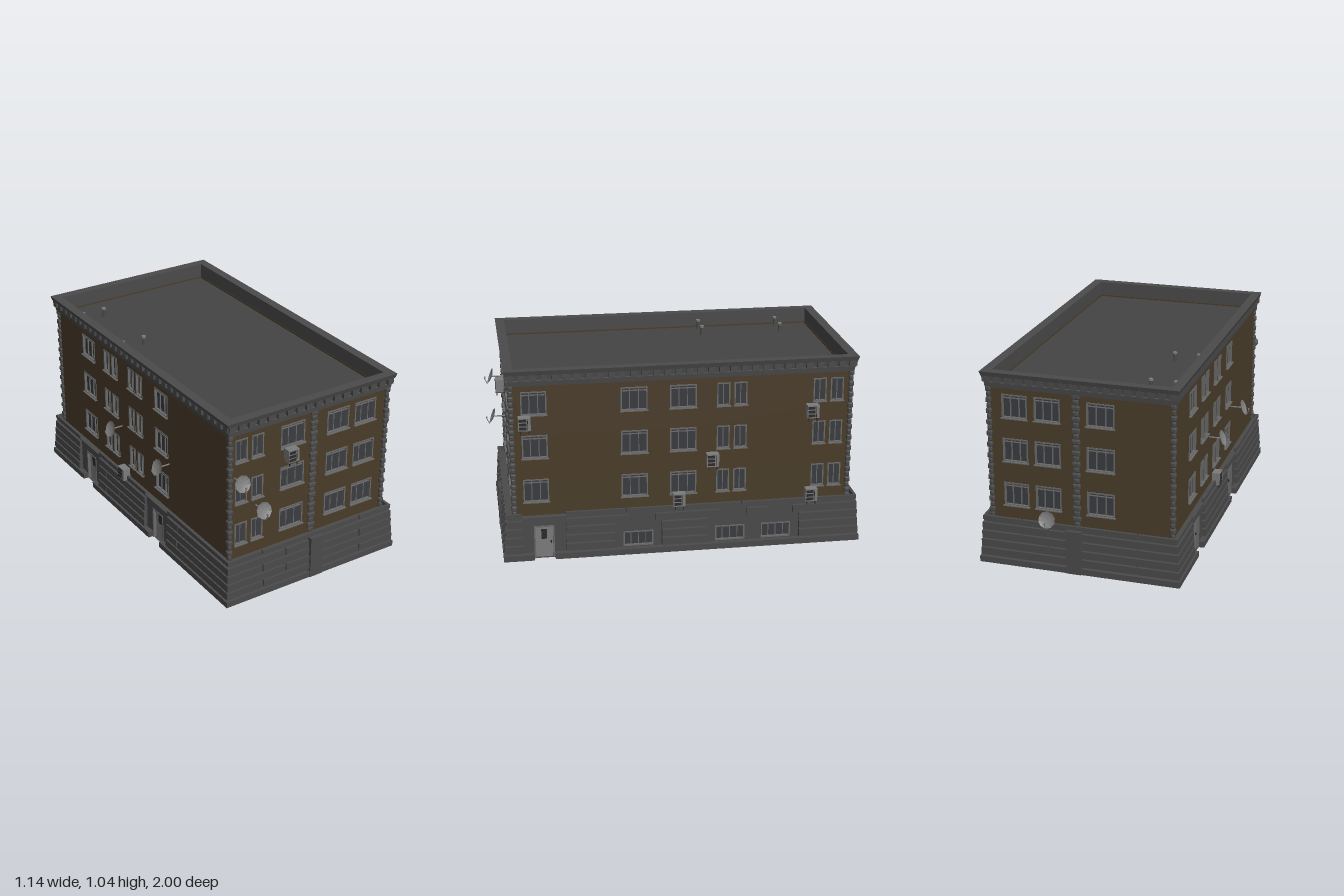
import * as THREE from 'three';
import { RoundedBoxGeometry } from 'three/addons/geometries/RoundedBoxGeometry.js';

const mat = (color) => new THREE.MeshStandardMaterial({ color, side: THREE.DoubleSide, flatShading: true });
const brown = mat(0x4a3d2a), stone = mat(0x4c4b4c), dark = mat(0x2b2b2c), roofGrey = mat(0x444444);
const frameGrey = mat(0x6a6a6a), glass = mat(0x3a3c40), metal = mat(0x7c7c7c);

const CX = 0.025;                      // building centre in x
const HX = 0.485, HZ = 0.89;           // upper wall half sizes
const BX = 0.508, BZ = 0.926;          // basement half sizes
const BASE = 0.235, EAVES = 0.955;
const ROWS = [0.31, 0.552, 0.788], WIN_H = 0.128;

function add(parent, name, geo, material, x = 0, y = 0, z = 0) {
  const m = new THREE.Mesh(geo, material);
  m.name = name;
  m.position.set(x, y, z);
  parent.add(m);
  return m;
}
const box = (parent, name, material, w, h, d, x, y, z) =>
  add(parent, name, new THREE.BoxGeometry(w, h, d), material, x, y, z);

// Flat wall with rectangular openings [u0, u1, y0, y1]; its outer face lies at z = depth
function wall(parent, name, material, half, y0, y1, depth, thick, openings) {
  const rect = (P, a, b, c, d) => new P([[a, c], [b, c], [b, d], [a, d]].map((p) => new THREE.Vector2(...p)));
  const shape = rect(THREE.Shape, -half, half, y0, y1);
  for (const o of openings) shape.holes.push(rect(THREE.Path, ...o));
  add(parent, name, new THREE.ExtrudeGeometry(shape, { depth: thick, bevelEnabled: false }), material, 0, 0, depth - thick);
}

// Recessed window: glass, outer frame, mullions, optional transom and sill
function windowUnit(parent, [u0, u1, y0, y1], depth, panes, sill) {
  const g = new THREE.Group();
  g.name = 'window';
  g.position.set((u0 + u1) / 2, (y0 + y1) / 2, depth);
  parent.add(g);
  const w = u1 - u0, h = y1 - y0, t = 0.007;
  box(g, 'glass', glass, w, h, 0.004, 0, 0, -0.014);
  for (const s of [-1, 1]) {
    box(g, 'frameSide', frameGrey, t, h, 0.016, s * (w - t) / 2, 0, -0.005);
    box(g, 'frameRail', frameGrey, w, t, 0.016, 0, s * (h - t) / 2, -0.005);
  }
  for (let i = 1; i < panes; i++) box(g, 'mullion', frameGrey, 0.005, h, 0.008, -w / 2 + (w * i) / panes, 0, -0.009);
  if (panes > 2 && sill) box(g, 'transom', frameGrey, w, 0.004, 0.008, 0, h * 0.33, -0.009);
  if (sill) box(g, 'sill', frameGrey, w + 0.008, 0.005, 0.016, 0, -h / 2, 0.005);
}

// Row of stone blocks from -half to half, interrupted by gaps [a, b]
function course(parent, half, y, h, inner, outer, gaps) {
  let start = -half;
  for (const [a, b] of [...gaps, [half, half]].sort((p, q) => p[0] - q[0])) {
    if (a - start > 0.01) box(parent, 'stoneCourse', stone, a - start, h, outer - inner, (a + start) / 2, y, (outer + inner) / 2);
    start = Math.max(start, b);
  }
}

// Column of rough alternating blocks
function quoins(parent, x, z, size, depth) {
  const n = 24, step = (EAVES - BASE) / n;
  for (let i = 0; i < n; i++) {
    const k = i % 2 ? 1 : 0.72;
    add(parent, 'quoin', new RoundedBoxGeometry(size * k, step * 0.96, depth * (i % 2 ? 1 : 0.8), 1, 0.007),
      stone, x, BASE + (i + 0.5) * step, z);
  }
}

function airConditioner(parent, u, y, depth) {
  const g = new THREE.Group();
  g.name = 'airConditioner';
  g.position.set(u, y, depth);
  parent.add(g);
  box(g, 'casing', metal, 0.064, 0.07, 0.043, 0, 0.004, 0.034);
  for (let i = 0; i < 3; i++) box(g, 'grille', dark, 0.038, 0.015, 0.002, -0.009, -0.017 + i * 0.021, 0.056);
  box(g, 'sidePanel', dark, 0.003, 0.06, 0.002, 0.016, 0.004, 0.056);
  for (const s of [-1, 1]) {
    box(g, 'bracketArm', dark, 0.005, 0.005, 0.056, s * 0.022, -0.034, 0.028);
    box(g, 'bracketLeg', dark, 0.005, 0.02, 0.005, s * 0.022, -0.041, 0.05);
  }
}

function rod(parent, name, a, b, r, material) {
  const A = new THREE.Vector3(...a), B = new THREE.Vector3(...b);
  add(parent, name, new THREE.TubeGeometry(new THREE.LineCurve3(A, B), 1, r, 6), material);
}

function satelliteDish(parent, u, y, depth) {
  const g = new THREE.Group();
  g.name = 'satelliteDish';
  g.position.set(u, y, depth);
  parent.add(g);
  const profile = [[0.001, 0], [0.02, 0.002], [0.035, 0.006], [0.045, 0.011]].map((p) => new THREE.Vector2(...p));
  const dish = add(g, 'reflector', new THREE.LatheGeometry(profile, 10), metal, 0, 0, 0.066);
  dish.rotation.x = Math.PI / 2 - 0.37;
  rod(g, 'wallArm', [0, 0, 0], [0, 0, 0.066], 0.004, metal);
  rod(g, 'feedArm', [0, -0.042, 0.092], [0, -0.008, 0.109], 0.0025, metal);
  box(g, 'feed', metal, 0.008, 0.008, 0.008, 0, -0.005, 0.106);
}

// Basement door set into the stone
function door(parent, u, depth) {
  const g = new THREE.Group();
  g.name = 'door';
  g.position.set(u, 0, depth);
  parent.add(g);
  box(g, 'doorLeaf', metal, 0.1, 0.18, 0.02, 0, 0.09, -0.025);
  box(g, 'doorWindow', dark, 0.03, 0.055, 0.003, 0, 0.13, -0.014);
  box(g, 'doorHandle', dark, 0.006, 0.014, 0.008, 0.036, 0.085, -0.012);
  for (const s of [-1, 1]) box(g, 'doorJamb', frameGrey, 0.008, 0.18, 0.05, s * 0.05, 0.09, -0.022);
  box(g, 'doorLintel', frameGrey, 0.108, 0.008, 0.05, 0, 0.18, -0.022);
}

// Rectangular moulding swept round the building; profile points are [offset, y]
function moulding(profile) {
  const pos = [];
  const corner = ([o, y], k) => [[1, 1], [1, -1], [-1, -1], [-1, 1]][k % 4].map((s, i) => s * ((i ? HZ : HX) + o)).toSpliced(1, 0, y);
  for (let i = 0; i + 1 < profile.length; i++) {
    for (let k = 0; k < 4; k++) {
      const a = corner(profile[i], k), b = corner(profile[i], k + 1);
      const c = corner(profile[i + 1], k + 1), d = corner(profile[i + 1], k);
      pos.push(...a, ...b, ...c, ...a, ...c, ...d);
    }
  }
  const geo = new THREE.BufferGeometry();
  geo.setAttribute('position', new THREE.Float32BufferAttribute(pos, 3));
  geo.computeVertexNormals();
  return geo;
}

// Positions are given along x (front, back) or z (right, left)
const FACES = [
  { name: 'front', rot: 0, sign: 1, cols: [[-0.427, -0.354], [-0.329, -0.258], [-0.155, -0.008], [0.13, 0.268], [0.305, 0.44]],
    doors: [], vents: [], acs: [[-0.11, 0.757]], dishes: [[-0.43, 0.708], [-0.3, 0.513]] },
  { name: 'back', rot: Math.PI, sign: -1, cols: [[-0.155, -0.008], [0.13, 0.268], [0.305, 0.44]],
    doors: [], vents: [], acs: [], dishes: [[0.185, 0.285]] },
  { name: 'right', rot: Math.PI / 2, sign: -1,
    cols: [[0.707, 0.84], [0.187, 0.327], [-0.07, 0.07], [-0.246, -0.177], [-0.337, -0.268], [-0.76, -0.69], [-0.852, -0.782]],
    doors: [0.74], vents: [0.243, -0.25, -0.5],
    acs: [[0.825, 0.755], [-0.68, 0.745], [-0.15, 0.503], [0.027, 0.29], [-0.685, 0.275]], dishes: [] },
  { name: 'left', rot: -Math.PI / 2, sign: 1,
    cols: [[-0.61, -0.47], [-0.365, -0.3], [-0.28, -0.215], [-0.1, -0.035], [-0.015, 0.05], [0.18, 0.31]],
    doors: [-0.52, 0.23], vents: [], acs: [[-0.117, 0.26]], dishes: [[-0.18, 0.52], [0.32, 0.52]] },
];

function buildFace(root, f) {
  const g = new THREE.Group();
  g.name = f.name + 'Side';
  g.rotation.y = f.rot;
  g.position.x = CX;
  root.add(g);
  const end = f.name === 'front' || f.name === 'back';
  const [half, depth, bHalf, bDepth] = end ? [HX, HZ, BX, BZ] : [HZ, HX, BZ, BX];
  const U = (v) => f.sign * (v - (end ? CX : 0));

  // upper wall and its windows
  const openings = f.cols.flatMap((c) => ROWS.map((y) => [...c.map(U).sort((a, b) => a - b), y, y + WIN_H]));
  wall(g, 'upperWall', brown, half, BASE - 0.01, EAVES, depth, 0.02, openings);
  for (const o of openings) windowUnit(g, o, depth, o[1] - o[0] > 0.1 ? 3 : 2, true);

  // basement wall with doors and low windows
  const doors = f.doors.map(U), vents = f.vents.map(U);
  const ventHoles = vents.map((u) => [u - 0.08, u + 0.08, 0.037, 0.122]);
  wall(g, 'basementWall', stone, bHalf, 0, BASE, bDepth, 0.05,
    [...doors.map((u) => [u - 0.052, u + 0.052, 0.0005, 0.183]), ...ventHoles]);
  for (const o of ventHoles) windowUnit(g, o, bDepth, 4, false);
  for (const u of doors) door(g, u, bDepth);

  // plinth, tapering stone courses and cap
  course(g, bHalf + 0.03, 0.016, 0.032, bDepth, bDepth + 0.03, doors.map((u) => [u - 0.055, u + 0.055]));
  for (let i = 0; i < 5; i++) {
    const out = 0.024 - i * 0.003, gaps = doors.map((u) => [u - 0.115, u + 0.115]);
    if (i < 3) gaps.push(...vents.map((u) => [u - 0.125, u + 0.125]));
    else if (i === 3) gaps.push(...vents.map((u) => [u - 0.05, u + 0.09]));
    for (let j = i % 2 ? -0.165 : -0.31; j < bHalf - 0.1; j += 0.62) gaps.push([j - 0.003, j + 0.003]);
    course(g, bHalf + out, 0.06 + i * 0.0465, i < 4 ? 0.04 : 0.022, bDepth - 0.002, bDepth + out, gaps);
  }
  box(g, 'basementCap', stone, 2 * bHalf + 0.018, 0.006, 0.03, 0, BASE - 0.003, bDepth - 0.006);

  // central stone pilaster on the short ends
  if (end) {
    box(g, 'pilasterBase', stone, 0.079, BASE + 0.002, 0.035, U(0.047), BASE / 2, bDepth + 0.015);
    quoins(g, U(0.047), depth, 0.045, 0.026);
  }

  // cornice brackets
  const n = Math.round((2 * half) / 0.057);
  for (let i = 0; i <= n; i++) box(g, 'corniceBracket', stone, 0.034, 0.03, 0.022, -half + (2 * half * i) / n, 0.994, depth + 0.016);

  for (const [v, y] of f.acs) airConditioner(g, U(v), y, depth);
  for (const [v, y] of f.dishes) satelliteDish(g, U(v), y, depth);
}

export function createModel() {
  const root = new THREE.Group();
  root.name = 'apartmentBuilding';
  for (const f of FACES) buildFace(root, f);

  // corner quoins
  for (const sx of [-1, 1]) for (const sz of [-1, 1]) quoins(root, CX + sx * (HX - 0.002), sz * (HZ + 0.001), 0.03, 0.03);

  // cornice with parapet, roof slab and vent pipes
  const profile = [[-0.02, 0.948], [0.013, 0.95], [0.016, 0.976], [0.009, 0.979], [0.012, 1.006], [0.027, 1.01],
    [0.0335, 1.034], [-0.017, 1.034], [-0.017, 0.94]];
  add(root, 'cornice', moulding(profile), stone, CX);
  box(root, 'roof', roofGrey, 2 * HX - 0.03, 0.012, 2 * HZ - 0.03, CX, 0.941, 0);
  for (const x of [-0.41, -0.28]) for (const z of [-0.685, -0.235]) {
    add(root, 'ventPipe', new THREE.CylinderGeometry(0.008, 0.008, 0.05, 10), stone, x, 0.97, z);
    add(root, 'ventCap', new THREE.CylinderGeometry(0.012, 0.012, 0.01, 10), metal, x, 0.995, z);
  }
  return root;
}
